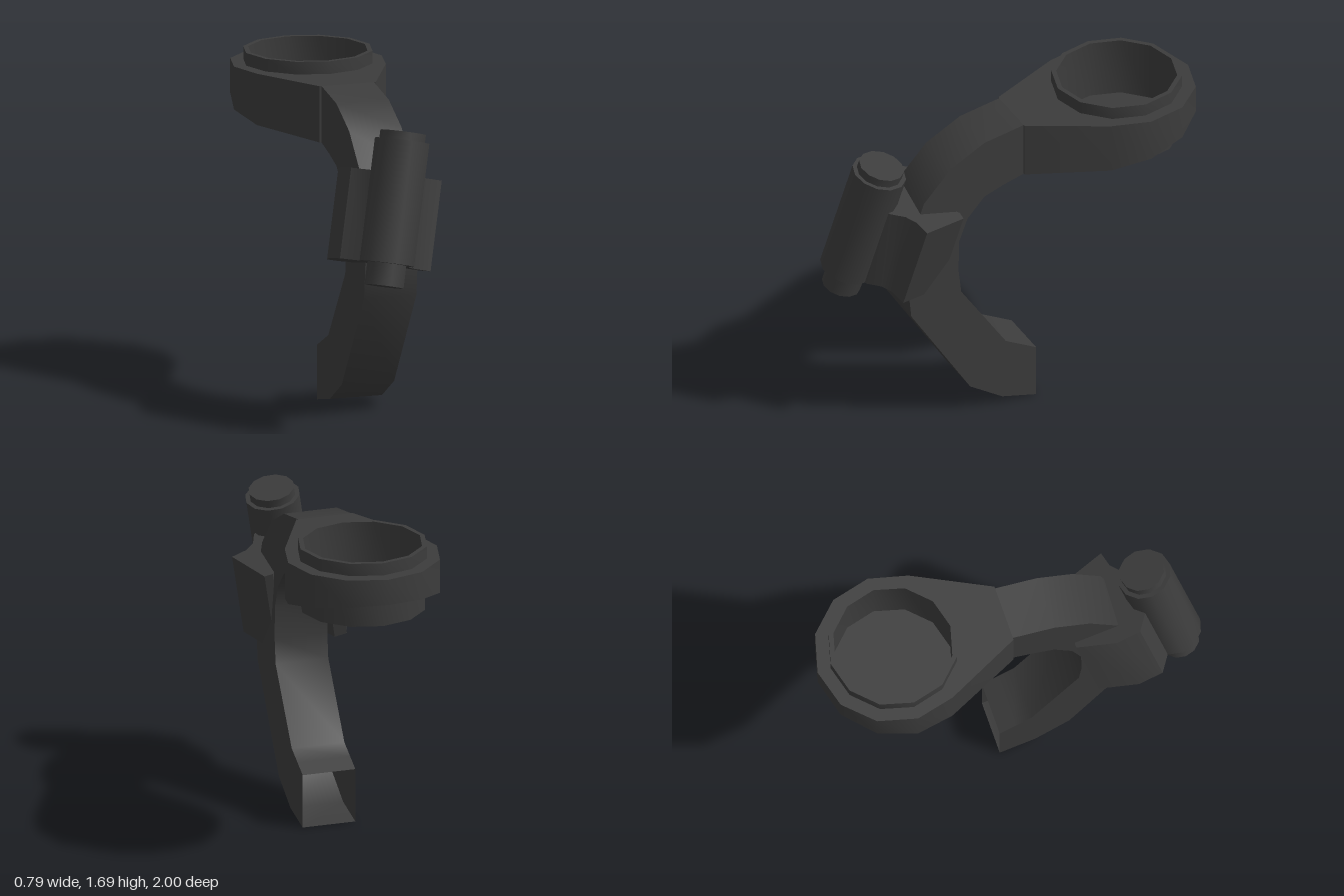
import * as THREE from 'three';
import { toCreasedNormals } from 'three/addons/utils/BufferGeometryUtils.js';

const CREASE = 0.65;

export function createModel() {
  const model = new THREE.Group();
  model.name = 'clampArm';
  const charcoal = new THREE.MeshStandardMaterial({ color: 0x3c3c3c, side: THREE.DoubleSide });
  charcoal.name = 'charcoal';

  const add = (parent, name, geometry) => {
    const mesh = new THREE.Mesh(toCreasedNormals(geometry, CREASE), charcoal);
    mesh.name = name;
    parent.add(mesh);
    return mesh;
  };

  // Upright prism from an outline of [x, z] points
  const prism = (outline, height, hole) => {
    const flat = (pts) => pts.map(([x, z]) => new THREE.Vector2(x, -z));
    const shape = new THREE.Shape(flat(outline));
    if (hole) shape.holes.push(new THREE.Path(flat(hole)));
    return new THREE.ExtrudeGeometry(shape, { depth: height, bevelEnabled: false }).rotateX(-Math.PI / 2);
  };

  // Curved square arm, open at the foot: [outer z, outer y, inner z, inner y]
  const sections = [
    [-0.08, 0, -0.08, 0.28],
    [0.11, 0.04, 0.0, 0.32],
    [0.29, 0.15, 0.09, 0.365],
    [0.62, 0.66, 0.34, 0.73],
    [0.64, 0.86, 0.355, 0.86],
    [0.62, 1.1, 0.352, 1.03],
    [0.55, 1.31, 0.305, 1.155],
    [0.4, 1.475, 0.21, 1.26],
    [0.21, 1.58, 0.105, 1.3],
    [-0.01, 1.625, -0.01, 1.335],
  ];
  const w = 0.14;
  const positions = [];
  const index = [];
  sections.forEach(([oz, oy, iz, iy], s) => {
    positions.push(w, oy, oz, -w, oy, oz, -w, iy, iz, w, iy, iz);
    if (s === 0) return;
    for (let k = 0; k < 4; k++) {
      const a1 = s * 4 + k, b1 = s * 4 + ((k + 1) % 4);
      const a0 = a1 - 4, b0 = b1 - 4;
      index.push(a0, b1, b0, a0, a1, b1);
    }
  });
  const armGeometry = new THREE.BufferGeometry();
  armGeometry.setAttribute('position', new THREE.Float32BufferAttribute(positions, 3));
  armGeometry.setIndex(index);
  add(model, 'arm', armGeometry);

  // Teardrop head with a round opening and an underside that rises to the back
  const side = [[0.15, -0.01], [0.345, -0.4], [0.395, -0.6], [0.343, -0.8], [0.2, -0.945]];
  const outline = [...side, [0, -1], ...side.map(([x, z]) => [-x, z]).reverse()];
  const opening = [];
  for (let i = 0; i < 12; i++) {
    const a = (i * Math.PI) / 6;
    opening.push([0.312 * Math.cos(a), -0.6 + 0.312 * Math.sin(a)]);
  }
  const head = prism(outline, 1, opening);
  const p = head.attributes.position;
  for (let i = 0; i < p.count; i++) {
    const z = p.getZ(i);
    const bottom = z > -0.4 ? 1.335 + 0.064 * -z : 1.361 + 0.215 * (-0.4 - z);
    p.setY(i, p.getY(i) > 0.5 ? 1.625 : bottom);
  }
  add(model, 'headHousing', head);

  // Cup with raised rim, recess and bottom boss
  const cupProfile = [
    [0, 1.305], [0.185, 1.305], [0.185, 1.35], [0.32, 1.35], [0.32, 1.62], [0.33, 1.62],
    [0.33, 1.69], [0.305, 1.69], [0.305, 1.38], [0, 1.38],
  ].map(([x, y]) => new THREE.Vector2(x, y));
  add(model, 'cup', new THREE.LatheGeometry(cupProfile, 12)).position.z = -0.6;

  // Tilted lamp and the clamp that holds it to the arm
  const mount = new THREE.Group();
  mount.name = 'lampMount';
  mount.position.set(-0.105, 0.885, 0.86);
  mount.quaternion.setFromUnitVectors(
    new THREE.Vector3(0, 1, 0),
    new THREE.Vector3(0.125, 0.6, -0.12).normalize(),
  );
  model.add(mount);

  const tube = (name, radius, from, to) => {
    add(mount, name, new THREE.CylinderGeometry(radius, radius, to - from, 12)).position.y = (from + to) / 2;
  };
  tube('lampBody', 0.14, 0, 0.624);
  tube('lampTail', 0.1, -0.115, 0.01);
  tube('lampCap', 0.117, 0.61, 0.667);

  add(mount, 'clamp', prism([
    [-0.15, -0.46], [-0.085, -0.46], [-0.06, -0.4], [0.15, -0.4], [0.175, -0.43], [0.22, -0.43],
    [0.305, -0.18], [0.22, -0.16], [0.17, -0.12], [0.14, -0.05], [0.08, 0],
    [-0.08, 0], [-0.11, -0.07], [-0.205, -0.13], [-0.215, -0.26],
  ], 0.46));

  return model;
}
